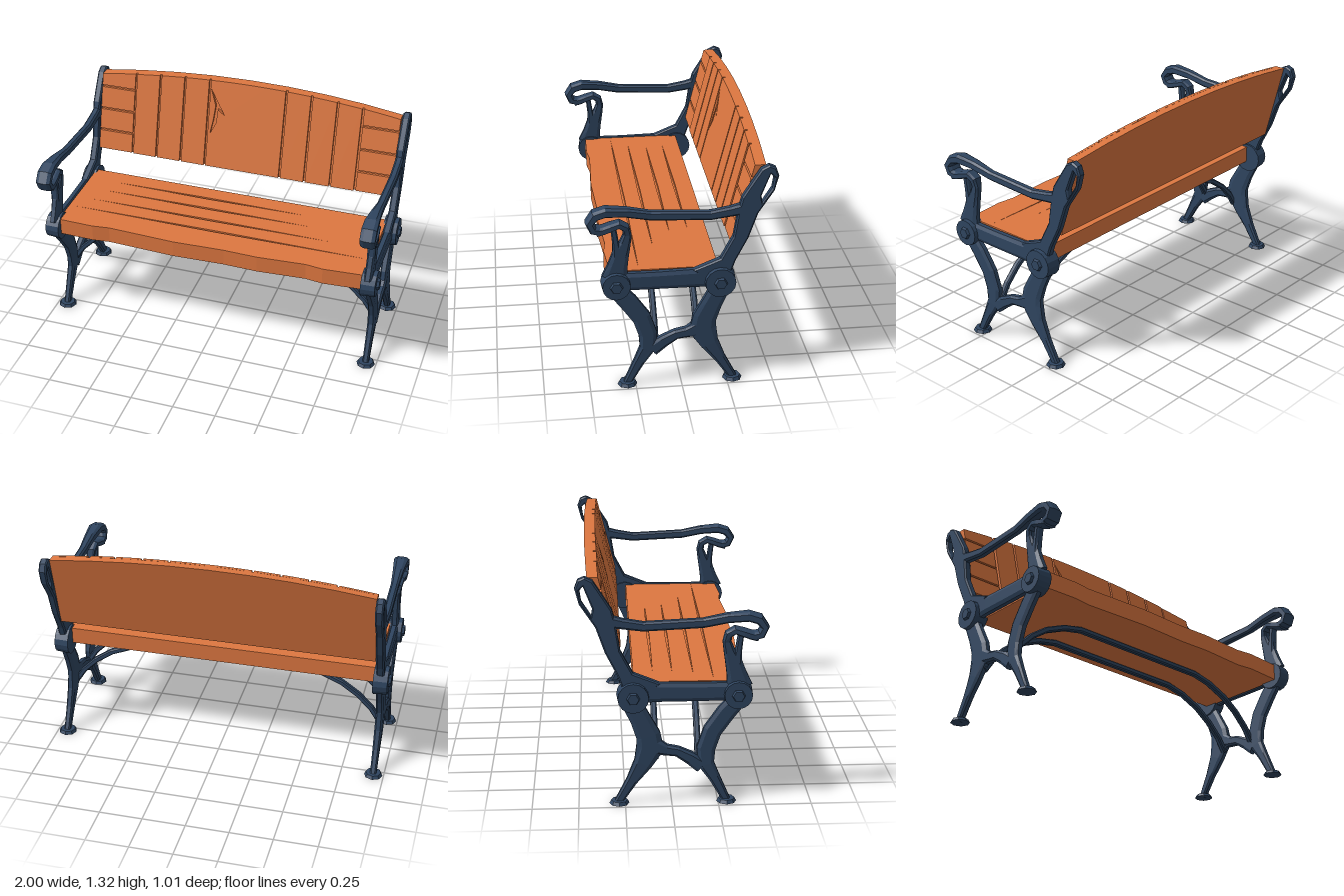
import * as THREE from 'three';

const wood = new THREE.MeshStandardMaterial({ color: 0xdd7740 });
wood.name = 'orange wood';
const iron = new THREE.MeshStandardMaterial({ color: 0x2f4560 });
iron.name = 'blue iron';

// Faceted mesh with a name
function part(name, geometry, material, parent) {
  const g = geometry.index ? geometry.toNonIndexed() : geometry;
  g.computeVertexNormals();
  const mesh = new THREE.Mesh(g, material);
  mesh.name = name;
  parent.add(mesh);
  return mesh;
}

// Chamfered bar along points [a, b, width, depth] in the xy plane
function bar(pts) {
  const pos = [], idx = [];
  const outline = [[1, -.55], [1, .55], [.6, 1], [-.6, 1], [-1, .55], [-1, -.55], [-.6, -1], [.6, -1]];
  const n = outline.length;
  pts.forEach(([x, y, w, d = 0.045], i) => {
    const p = pts[Math.max(i - 1, 0)], q = pts[Math.min(i + 1, pts.length - 1)];
    const len = Math.hypot(q[0] - p[0], q[1] - p[1]);
    const tx = (q[0] - p[0]) / len, ty = (q[1] - p[1]) / len;
    for (const [u, v] of outline) pos.push(x - ty * u * w / 2, y + tx * u * w / 2, v * d / 2);
    for (let j = 0; i < pts.length - 1 && j < n; j++) {
      const a = i * n + j, b = i * n + (j + 1) % n;
      idx.push(a, b, b + n, a, b + n, a + n);
    }
  });
  const last = (pts.length - 1) * n;
  for (let j = 1; j < n - 1; j++) idx.push(0, j + 1, j, last, last + j, last + j + 1);
  const g = new THREE.BufferGeometry();
  g.setAttribute('position', new THREE.Float32BufferAttribute(pos, 3));
  g.setIndex(idx);
  return g;
}

const shapeOf = (pts, holes = []) => {
  const s = new THREE.Shape(pts.map(p => new THREE.Vector2(...p)));
  for (const h of holes) s.holes.push(new THREE.Path(h.map(p => new THREE.Vector2(...p))));
  return s;
};

// One cast side frame, drawn in (z, y) and centred on its own x = 0
function sideFrame(s) {
  const frame = new THREE.Group();
  frame.name = s > 0 ? 'leftFrame' : 'rightFrame';
  frame.position.x = s * 0.94;
  const bars = {
    frontLeg: [[.36, .6, .09], [.285, .51, .1], [.215, .41, .1], [.182, .31, .1], [.185, .22, .085],
      [.23, .14, .06, .04], [.295, .01, .042, .035]],
    rearLeg: [[-.225, .6, .1], [-.165, .48, .11], [-.125, .39, .13], [-.115, .32, .15], [-.155, .23, .1],
      [-.215, .13, .06, .04], [-.286, .01, .042, .035]],
    legBridge: [[.16, .21, .08], [.1, .255, .07], [.03, .295, .055], [-.03, .305, .06], [-.1, .33, .1]],
    seatRail: [[.36, .635, .1], [.15, .633, .1], [-.07, .635, .105], [-.22, .64, .13]],
    armRest: [[-.34, 1.03, .07], [-.26, 1.015, .055], [-.15, .998, .05], [0, 1.005, .05], [.165, 1.013, .05],
      [.29, 1.038, .05, .06], [.4, 1.047, .052, .08], [.455, 1.03, .052, .085], [.484, .99, .046, .085],
      [.465, .95, .045, .085], [.425, .94, .042, .08]],
    armSupport: [[.355, .66, .14], [.34, .73, .105], [.325, .79, .09], [.3, .86, .06], [.287, .91, .045],
      [.295, .95, .042, .06], [.33, .972, .04, .07], [.375, .958, .04, .08], [.41, .945, .042, .08], [.45, .935, .045, .08]],
    supportBrace: [[.338, .79, .06], [.348, .86, .035], [.36, .95, .03]],
  };
  for (const [name, pts] of Object.entries(bars)) part(name, bar(pts).rotateY(-Math.PI / 2), iron, frame);

  // Back post with the open loop at its top
  const post = shapeOf(
    [[-.06, .685], [-.15, .6], [-.24, .6], [-.285, .73], [-.35, .86], [-.398, 1], [-.48, 1.125], [-.502, 1.21],
      [-.485, 1.255], [-.45, 1.27], [-.41, 1.25], [-.365, 1.18], [-.312, 1.095], [-.295, 1.03], [-.27, .87], [-.205, .745]],
    [[[-.458, 1.22], [-.477, 1.2], [-.468, 1.14], [-.418, 1.06], [-.412, 1.1]]]);
  part('backPost', new THREE.ExtrudeGeometry(post, {
    depth: .029, bevelEnabled: true, bevelThickness: .008, bevelSize: .008, bevelOffset: -.008, bevelSegments: 1,
  }).translate(0, 0, -.0145).rotateY(-Math.PI / 2), iron, frame);

  // Round joints with hex bolts
  for (const [z, y, r] of [[.35, .62, .08], [-.205, .612, .088]]) {
    const disc = new THREE.CylinderGeometry(r * .93, r, .082, 16).rotateZ(-s * Math.PI / 2);
    part('jointDisc', disc, iron, frame).position.set(s * .004, y, z);
    const bolt = new THREE.CylinderGeometry(.03, .038, .02, 6).rotateZ(-s * Math.PI / 2);
    part('jointBolt', bolt, iron, frame).position.set(s * .05, y, z);
  }
  for (const z of [.295, -.282])
    part('foot', new THREE.CylinderGeometry(.044, .054, .018, 8), iron, frame).position.set(0, .009, z);
  return frame;
}

// Seat slab with a grooved top layer
function seat() {
  const group = new THREE.Group();
  group.name = 'seat';
  const edge = [[-.915, .385], [-.7, .392], [-.6, .38], [-.2, .4], [.1, .39], [.3, .397], [.58, .38], [.68, .394], [.915, .38]];
  const outline = [[-.915, -.2], ...edge, [.915, -.2]].map(([x, z]) => [x, -z]).reverse();
  const groove = (x0, x1, z) => [[x0, -z], [(x0 + x1) / 2, -z - .007], [x1, -z], [(x0 + x1) / 2, -z + .007]];
  const grooves = [groove(-.9, .9, .225), groove(-.81, .65, .122), groove(-.77, .5, .01), groove(-.75, .45, -.095)];
  const layer = (name, y, depth, holes) => part(name,
    new THREE.ExtrudeGeometry(shapeOf(outline, holes), { depth, bevelEnabled: false })
      .rotateX(-Math.PI / 2).translate(0, y, 0), wood, group);
  layer('seatSlab', .585, .08, []);
  layer('seatTop', .665, .018, grooves);
  return group;
}

// Tilted backrest: a smooth rear slab faced with separate boards
function backrest() {
  const group = new THREE.Group();
  group.name = 'backrest';
  const topY = x => 1.322 - .065 * (x / .92) ** 2;
  const lean = new THREE.Matrix4().set(1, 0, 0, 0, 0, 1, 0, 0, 0, -.25, 1, .2, 0, 0, 0, 1);
  const board = (name, x0, x1, y0, y1, z, depth, holes) => {
    const top = [];
    for (let i = 0; i <= 8; i++) {
      const x = x1 + (x0 - x1) * i / 8;
      top.push([x, y1 ?? topY(x)]);
    }
    const g = new THREE.ExtrudeGeometry(shapeOf([[x0, y0], [x1, y0], ...top], holes), { depth, bevelEnabled: false });
    part(name, g.translate(0, 0, z).applyMatrix4(lean), wood, group);
  };
  board('backSlab', -.917, .917, .8, null, -.325, .045);

  const cuts = [-.7, -.545, -.39, -.235, .235, .388, .545, .695];
  const gap = .006;
  const crack = [[-.225, 1.27], [-.19, 1.17], [-.2, 1.08], [-.235 + .02, 1.0], [-.18, 1.07], [-.175, 1.15], [-.13, 1.12], [-.17, 1.18]];
  for (let i = 0; i < cuts.length - 1; i++)
    board('backBoard', cuts[i] + gap, cuts[i + 1] - gap, .803, null, -.28, .018, i === 3 ? [crack] : []);

  // Short horizontal boards at both ends
  const rows = [.797, .92, 1.05, 1.185, null];
  for (let i = 0; i < 4; i++)
    for (const [x0, x1] of [[-.917, -.7 - gap], [.695 + gap, .917]])
      board('endBoard', x0, x1, rows[i] + gap, rows[i + 1] && rows[i + 1] - gap, -.28, .014);
  return group;
}

export function createModel() {
  const bench = new THREE.Group();
  bench.name = 'bench';
  bench.add(sideFrame(1), sideFrame(-1), seat(), backrest());

  // Two arched braces beneath the seat
  const half = [[.935, .25], [.88, .335], [.8, .415], [.7, .485], [.57, .54], [.45, .565]];
  const arch = [...half.map(([x, y]) => [-x, y]), ...half.slice().reverse()].map(([x, y]) => [x, y, .032, .034]);
  for (const z of [.14, -.088]) part('archBrace', bar(arch), iron, bench).position.z = z;
  return bench;
}
